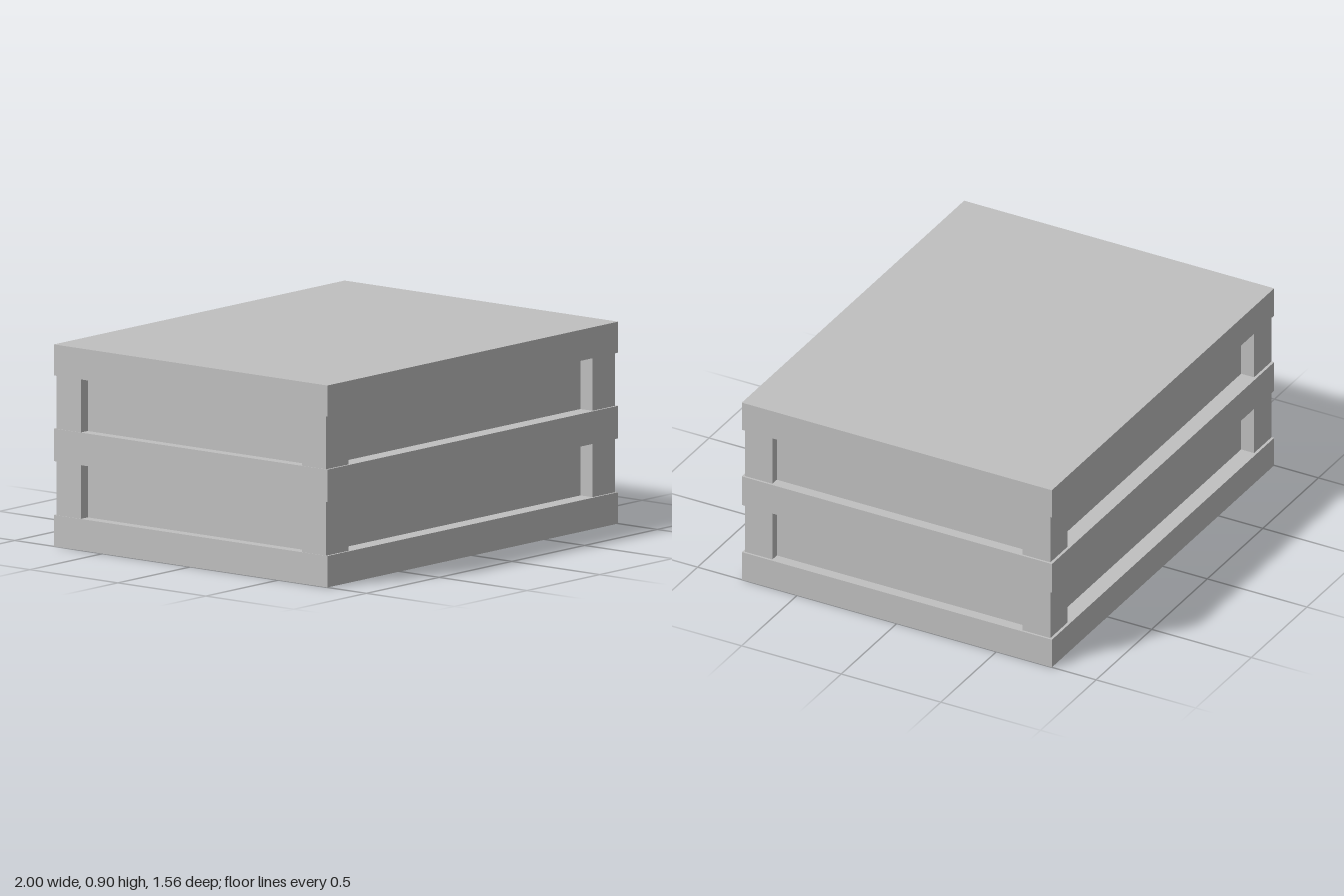
import * as THREE from 'three';

export function createModel() {
  const crate = new THREE.Group();
  crate.name = 'crate';
  const grey = new THREE.MeshStandardMaterial({ color: 0xc0c0c0 });
  grey.name = 'plain grey';

  // Box given by its lower and upper limits on each axis
  function box(name, [x0, x1], [y0, y1], [z0, z1]) {
    const mesh = new THREE.Mesh(new THREE.BoxGeometry(x1 - x0, y1 - y0, z1 - z0), grey);
    mesh.position.set((x0 + x1) / 2, (y0 + y1) / 2, (z0 + z1) / 2);
    mesh.name = name;
    crate.add(mesh);
  }

  // Three full-width slabs: base, middle band and lid
  const slabs = { base: [0, 0.14], middleBand: [0.38, 0.525], lid: [0.762, 0.9] };
  for (const [name, y] of Object.entries(slabs)) box(name, [-1, 1], y, [-0.778, 0.778]);

  // Recessed side panels and corner posts in the two gaps between the slabs
  const gaps = { lower: [0.14, 0.38], upper: [0.525, 0.762] };
  for (const [level, y] of Object.entries(gaps)) {
    box(level + 'Panels', [-0.95, 0.95], y, [-0.7, 0.7]);
    for (const [side, x] of [['Right', [-0.997, -0.842]], ['Left', [0.835, 0.99]]]) {
      box(level + 'Front' + side + 'Post', x, y, [0.63, 0.768]);
      box(level + 'Back' + side + 'Post', x, y, [-0.765, -0.626]);
    }
  }
  return crate;
}
